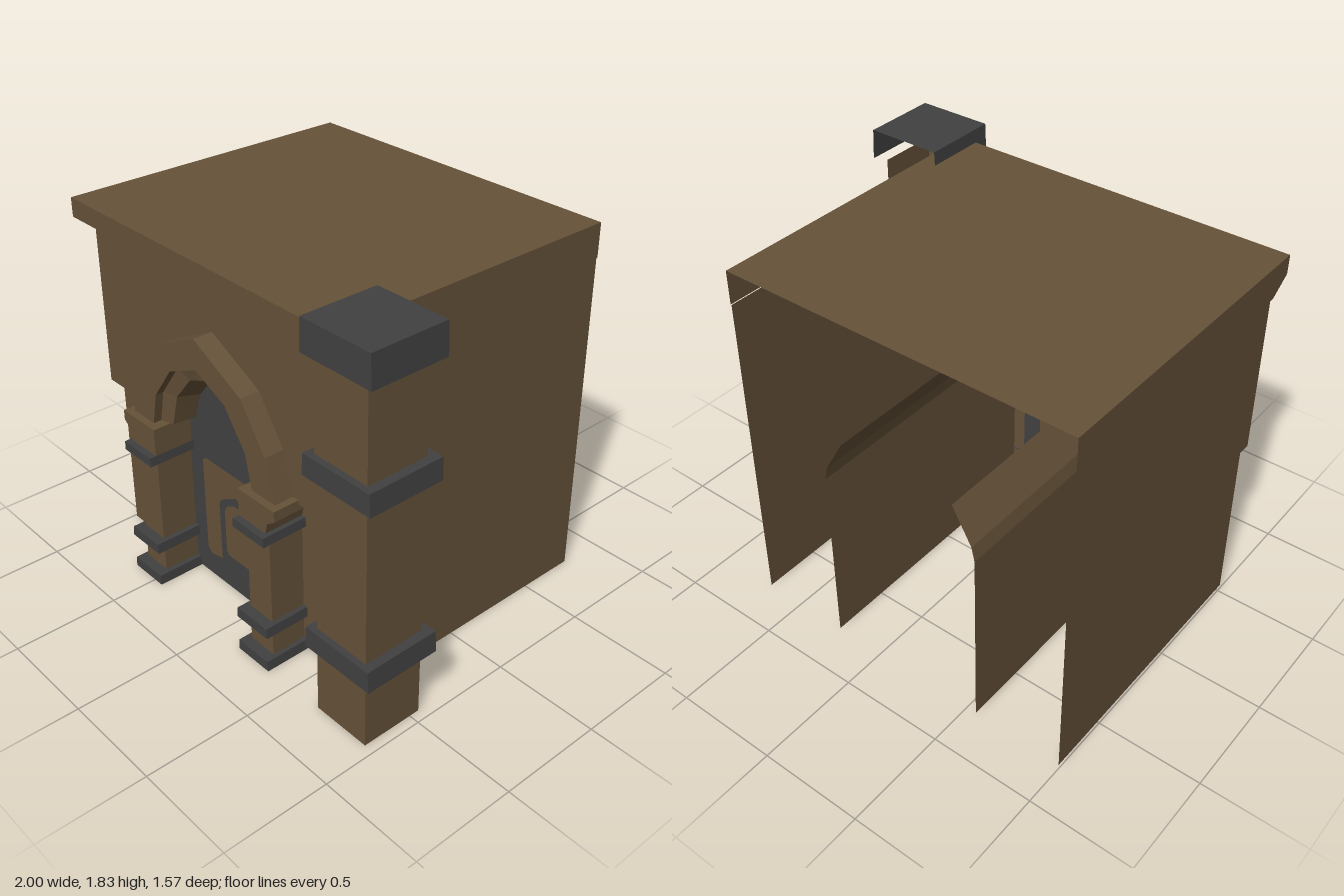
import * as THREE from 'three';

const CX = -0.15; // centre line of the doorway

export function createModel() {
  const root = new THREE.Group();
  root.name = 'gatehouse';
  const material = (name, color) => {
    const m = new THREE.MeshStandardMaterial({ color, side: THREE.DoubleSide });
    m.name = name;
    return m;
  };
  const stone = material('brownStone', 0x665239);
  const iron = material('darkGrey', 0x414141);

  const add = (name, geo, mat, parent = root) => {
    const mesh = new THREE.Mesh(geo, mat);
    mesh.name = name;
    parent.add(mesh);
    return mesh;
  };

  // Box between limits, leaving out the listed sides; the foot may flare out
  const SIDES = ['right', 'left', 'top', 'bottom', 'front', 'back'];
  const openBox = ([x0, x1], [y0, y1], [z0, z1], skip = [], flare = 0) => {
    let g = new THREE.BoxGeometry(x1 - x0, y1 - y0, z1 - z0);
    const p = g.attributes.position;
    for (let i = 0; i < p.count; i++) {
      if (p.getY(i) < 0) p.setX(i, p.getX(i) + Math.sign(p.getX(i)) * flare);
    }
    const kept = [...g.index.array].filter((_, i) => !skip.includes(SIDES[Math.floor(i / 6)]));
    g.setIndex(kept);
    g.clearGroups();
    g.translate((x0 + x1) / 2, (y0 + y1) / 2, (z0 + z1) / 2);
    g = g.toNonIndexed();
    g.computeVertexNormals();
    return g;
  };

  // Flat-shaded skin between successive rows of points
  const skin = (rows) => {
    const out = [];
    for (let r = 0; r < rows.length - 1; r++) {
      for (let i = 0; i < rows[r].length - 1; i++) {
        const a = rows[r][i], b = rows[r][i + 1], c = rows[r + 1][i + 1], d = rows[r + 1][i];
        out.push(...a, ...b, ...c, ...a, ...c, ...d);
      }
    }
    const g = new THREE.BufferGeometry();
    g.setAttribute('position', new THREE.Float32BufferAttribute(out, 3));
    g.computeVertexNormals();
    return g;
  };

  const vectors = (pts) => pts.map(([x, y]) => new THREE.Vector2(x, y));
  const flat = (pts, holes = []) => {
    const s = new THREE.Shape(vectors(pts));
    holes.forEach((h) => s.holes.push(new THREE.Path(vectors(h))));
    return new THREE.ShapeGeometry(s);
  };
  // Full symmetric outline from its right half, listed from the foot to the apex
  const mirrored = (half) => [...half, ...half.slice(0, -1).reverse().map(([x, y]) => [-x, y])];

  // Roof and cornice, swept along x
  const cornice = [[-0.785, 1.76], [0.705, 1.76], [0.705, 1.67], [0.605, 1.6]];
  add('roof', skin([-1, 0.705].map((x) => cornice.map(([z, y]) => [x, y, z]))), stone);

  // Side walls with their eaves; the upper storey overhangs the lower at the front
  const wallSide = [[-0.785, 0], [0.54, 0], [0.54, 0.82], [0.605, 0.82], [0.605, 1.6], [-0.785, 1.6]];
  const eaves = [[-0.785, 1.6], [0.605, 1.6], [0.705, 1.67], [0.705, 1.76], [-0.785, 1.76]];
  for (const [side, wx, ex] of [['left', 0.7, 0.705], ['right', -0.99, -1]]) {
    add(side + 'Wall', flat(wallSide).rotateY(-Math.PI / 2).translate(wx, 0, 0), stone);
    add(side + 'Eaves', flat(eaves).rotateY(-Math.PI / 2).translate(ex, 0, 0), stone);
  }

  // Upper front wall, notched behind the arch
  const notch = mirrored([[0.4, 0.82], [0.4, 1.04], [0.27, 1.2], [0, 1.33]])
    .map(([x, y]) => [x + CX, y]).reverse();
  add('upperFrontWall', flat([[-0.99, 0.82], ...notch, [0.7, 0.82], [0.7, 1.6], [-0.99, 1.6]])
    .translate(0, 0, 0.605), stone);

  // Lower front wall, the ledge over it and the vaulted passage behind the door
  for (const [side, s, end] of [['left', 1, 0.7], ['right', -1, -0.99]]) {
    const inner = CX + s * 0.33;
    add(side + 'LowerFrontWall', skin([inner, end].map((x) => [
      [x, 0, 0.54], [x, 0.82, 0.54], [x, 0.82, 0.605],
    ])), stone);
    const vault = [[0.4, 0], [0.4, 0.91], [0.385, 0.98], [0.29, 1.15]];
    add(side + 'PassageWall', skin([-0.785, 0.54].map((z) =>
      vault.map(([x, y]) => [CX + s * x, y, z]))), stone);
  }

  // Stepped pointed arch
  const outer = [[0.5, 0.84], [0.445, 1.04], [0.3, 1.25], [0, 1.4]];
  const middle = [[0.35, 0.84], [0.315, 1.0], [0.19, 1.17], [0, 1.255]];
  const inner = [[0.285, 0.84], [0.24, 1.0], [0.13, 1.13], [0, 1.18]];
  const reveal = [[0.27, 0.84], [0.22, 0.98], [0.12, 1.1], [0, 1.15]];
  const archRows = [
    [outer, 0.54], [outer, 0.7], [middle, 0.7], [middle, 0.66], [inner, 0.64], [reveal, 0.53],
  ];
  add('arch', skin(archRows.map(([half, z]) =>
    mirrored(half).map(([x, y]) => [x + CX, y, z]))), stone);

  // Door leaf with inlaid panels
  const door = new THREE.Group();
  door.name = 'door';
  door.position.set(CX, 0, 0.53);
  root.add(door);
  const leaf = mirrored([[0.33, 0], [0.33, 0.84], [0.29, 0.9], [0.24, 1.0], [0.13, 1.13], [0, 1.18]]);
  const surround = mirrored([
    [0.125, 0.135], [0.21, 0.115], [0.235, 0.145], [0.235, 0.63], [0.215, 0.65], [0, 0.65],
  ]);
  const archCut = mirrored([[0.125, 0.135], [0.125, 0.45], [0.1, 0.48], [0, 0.535]]);
  const panelFrame = [...surround, ...archCut.slice(1, -1).reverse()];
  const panel = mirrored([
    [0.07, 0.18], [0.087, 0.2], [0.087, 0.425], [0.07, 0.455], [0.02, 0.483], [0, 0.485],
  ]);
  add('doorLeaf', flat(leaf, [panelFrame, panel]), iron, door);
  add('doorSurroundPanel', flat(panelFrame), stone, door);
  add('doorArchedPanel', flat(panel), stone, door);

  // Columns beside the door
  const capital = [
    [0.3, 0.7], [0.475, 0.7], [0.49, 0.76], [0.535, 0.79], [0.535, 0.84], [0.3, 0.84],
  ];
  for (const [side, s] of [['left', 1], ['right', -1]]) {
    const column = new THREE.Group();
    column.name = side + 'Column';
    root.add(column);
    const span = (a, b) => [CX + s * a, CX + s * b].sort((p, q) => p - q);
    add('shaft', openBox(span(0.325, 0.475), [0, 0.72], [0.53, 0.715], ['bottom', 'back']), stone, column);
    const cap = new THREE.ExtrudeGeometry(
      new THREE.Shape(vectors(capital.map(([x, y]) => [CX + s * x, y]))),
      { depth: 0.195, bevelEnabled: false });
    add('capital', cap.translate(0, 0, 0.54), stone, column);
    for (const [y0, y1] of [[0, 0.05], [0.18, 0.23], [0.66, 0.705]]) {
      add('columnBand', openBox(span(0.3, 0.498), [y0, y1], [0.53, 0.767], ['bottom', 'back'], 0.003),
        iron, column);
    }
  }

  // Corner pier, open at the back, with three bands
  const pier = new THREE.Group();
  pier.name = 'cornerPier';
  root.add(pier);
  add('pierShaft', openBox([0.66, 0.95], [0, 1.67], [0.45, 0.75], ['back', 'top']), stone, pier);
  for (const [name, y0, y1] of [
    ['lowerBand', 0.33, 0.43], ['upperBand', 1.16, 1.26], ['pierCap', 1.68, 1.825],
  ]) {
    add(name, openBox([0.626, 0.992], [y0, y1], [0.41, 0.78], ['back', 'bottom'], 0.006), iron, pier);
  }

  return root;
}
